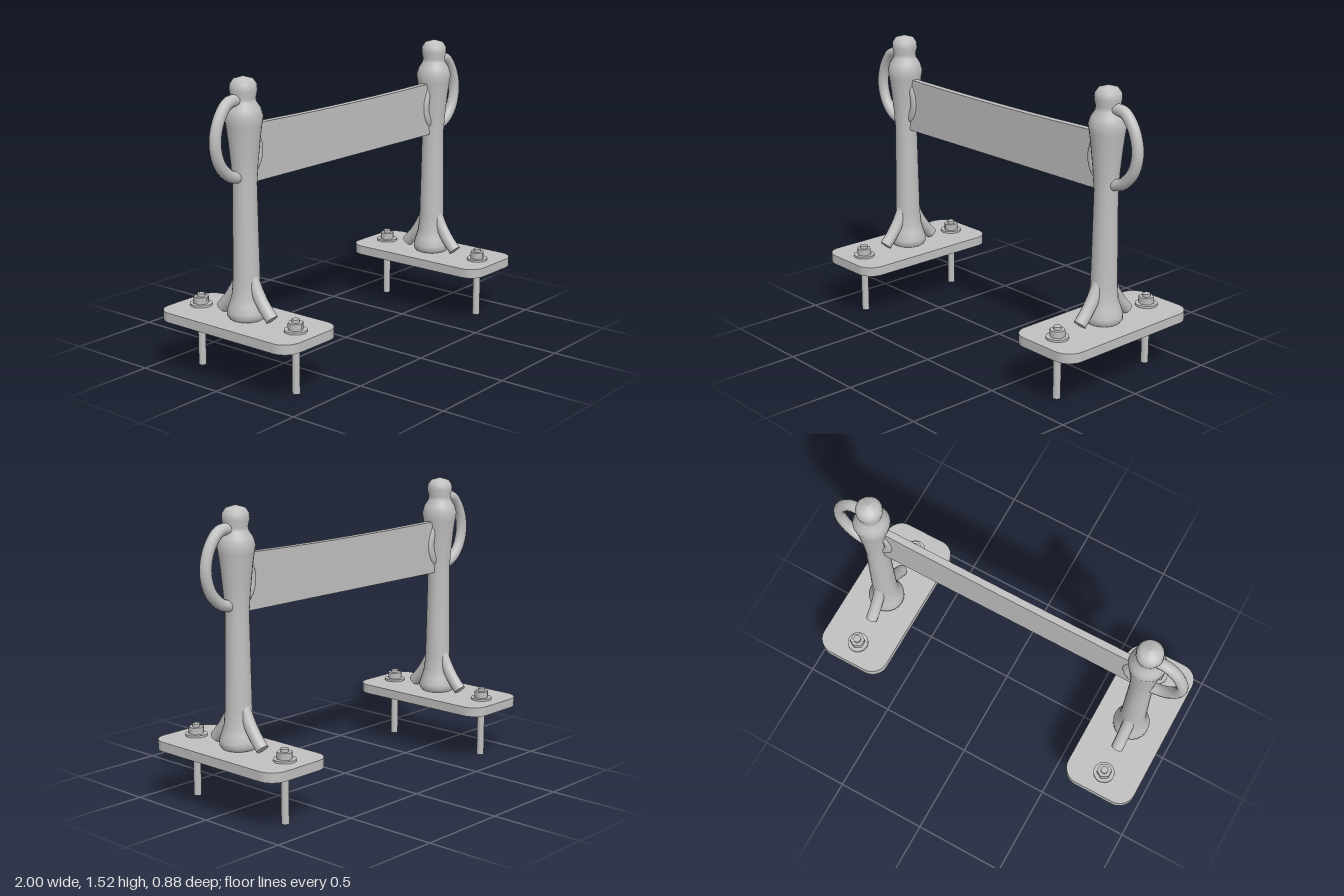
import * as THREE from 'three';

export function createModel() {
  const model = new THREE.Group();
  model.name = 'postBarrier';
  const steel = new THREE.MeshStandardMaterial({ color: 0xc0c0c0 });
  steel.name = 'grey steel';

  const add = (parent, name, geometry, x = 0, y = 0, z = 0) => {
    const mesh = new THREE.Mesh(geometry, steel);
    mesh.name = name;
    mesh.position.set(x, y, z);
    parent.add(mesh);
    return mesh;
  };
  const cylinder = (r, y0, y1, sides) =>
    new THREE.CylinderGeometry(r, r, y1 - y0, sides).translate(0, (y0 + y1) / 2, 0);

  // Rounded base plate, lying flat
  const w = 0.2, d = 0.438, r = 0.09;
  const outline = new THREE.Shape();
  outline.moveTo(-w + r, -d);
  outline.absarc(w - r, -d + r, r, -Math.PI / 2, 0);
  outline.absarc(w - r, d - r, r, 0, Math.PI / 2);
  outline.absarc(-w + r, d - r, r, Math.PI / 2, Math.PI);
  outline.absarc(-w + r, -d + r, r, Math.PI, Math.PI * 1.5);
  const plateGeometry = new THREE.ExtrudeGeometry(outline, { depth: 0.05, bevelEnabled: false, curveSegments: 5 });
  plateGeometry.rotateX(-Math.PI / 2).translate(0, 0.268, 0);

  // Post with flared foot, swollen shoulder and knob
  const profile = [
    [0, 0.318], [0.086, 0.318], [0.098, 0.335], [0.099, 0.36], [0.086, 0.4], [0.074, 0.44], [0.068, 0.52],
    [0.064, 0.75], [0.06, 1.0], [0.067, 1.1], [0.079, 1.22], [0.088, 1.29], [0.095, 1.33], [0.083, 1.37],
    [0.063, 1.4], [0.06, 1.42], [0.068, 1.455], [0.066, 1.485], [0.048, 1.51], [0, 1.524],
  ].map(([px, py]) => new THREE.Vector2(px, py));
  const postGeometry = new THREE.LatheGeometry(profile, 24);

  // Uneven ring threaded through the post, bulging outwards (+x)
  const ringPath = new THREE.CatmullRomCurve3([
    [0.198, 1.23], [0.165, 1.345], [0.1, 1.41], [0.02, 1.4], [-0.05, 1.27],
    [-0.09, 1.16], [-0.065, 1.08], [0.01, 1.04], [0.1, 1.052], [0.17, 1.12],
  ].map(([px, py]) => new THREE.Vector3(px, py, 0)), true);
  const ringGeometry = new THREE.TubeGeometry(ringPath, 48, 0.03, 12, true);

  // Splayed brace at the foot of the post
  const bracePath = new THREE.CatmullRomCurve3([
    new THREE.Vector3(0, 0.54, 0.032), new THREE.Vector3(0, 0.46, 0.072),
    new THREE.Vector3(0, 0.395, 0.117), new THREE.Vector3(0, 0.342, 0.165),
  ]);
  const braceGeometry = new THREE.TubeGeometry(bracePath, 16, 0.033, 12);
  const braceEnd = bracePath.getPoint(1);
  const capGeometry = new THREE.CircleGeometry(0.033, 12);
  capGeometry.applyQuaternion(new THREE.Quaternion().setFromUnitVectors(
    new THREE.Vector3(0, 0, 1), bracePath.getTangent(1)));

  for (const side of [1, -1]) {
    const stand = new THREE.Group();
    stand.name = side > 0 ? 'leftStand' : 'rightStand';
    stand.position.x = side * 0.77;
    if (side < 0) stand.rotation.y = Math.PI;
    model.add(stand);

    add(stand, 'basePlate', plateGeometry);
    add(stand, 'post', postGeometry);
    add(stand, 'ring', ringGeometry);

    for (const end of [1, -1]) {
      const brace = new THREE.Group();
      brace.name = 'brace';
      if (end < 0) brace.rotation.y = Math.PI;
      add(brace, 'braceTube', braceGeometry);
      add(brace, 'braceCap', capGeometry, braceEnd.x, braceEnd.y, braceEnd.z);
      stand.add(brace);

      // Anchor bolt through the plate
      const bolt = new THREE.Group();
      bolt.name = 'anchorBolt';
      bolt.position.z = end * 0.317;
      add(bolt, 'rod', cylinder(0.02, 0, 0.38, 12));
      add(bolt, 'washer', cylinder(0.057, 0.318, 0.329, 20));
      add(bolt, 'nut', cylinder(0.04, 0.329, 0.364, 6));
      stand.add(bolt);
    }
  }

  // Thin panel between the posts, with a slightly sagging top edge
  const panel = new THREE.Shape();
  panel.moveTo(-0.74, 1.0);
  panel.lineTo(0.74, 1.0);
  panel.lineTo(0.74, 1.288);
  panel.quadraticCurveTo(0, 1.268, -0.74, 1.288);
  const panelGeometry = new THREE.ExtrudeGeometry(panel, { depth: 0.036, bevelEnabled: false, curveSegments: 12 });
  add(model, 'panel', panelGeometry, 0, 0, -0.018);

  return model;
}
